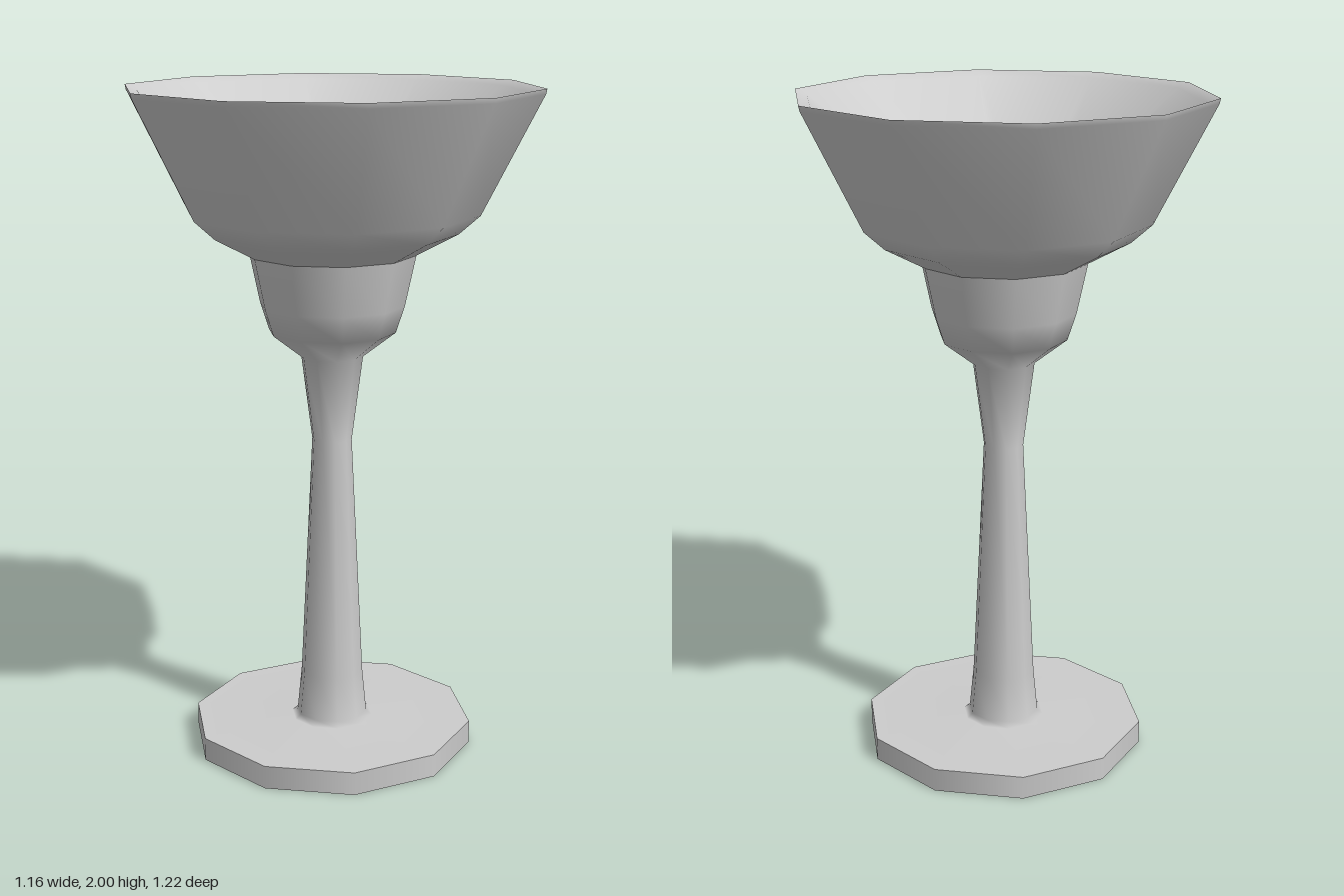
import * as THREE from 'three';

const SIDES = 10;

export function createModel() {
  const group = new THREE.Group();
  group.name = 'goblet';
  const grey = new THREE.MeshStandardMaterial({ color: 0xcccccc });
  grey.name = 'light grey';

  // Turned part: smooth within its profile, creased where parts meet
  const turn = (name, profile) => {
    const points = profile.map(([r, y]) => new THREE.Vector2(r, y));
    const mesh = new THREE.Mesh(new THREE.LatheGeometry(points, SIDES), grey);
    mesh.name = name;
    group.add(mesh);
  };

  // Foot
  turn('footUnderside', [[0, 0], [0.43, 0]]);
  turn('footEdge', [[0.43, 0], [0.43, 0.07]]);

  // Foot top flowing into the stem and the small lower bulb
  turn('stem', [
    [0.43, 0.07], [0.125, 0.07], [0.108, 0.085], [0.095, 0.22], [0.06, 0.96],
    [0.093, 1.215], [0.19, 1.29], [0.216, 1.37], [0.248, 1.52],
  ]);

  // Bowl outside
  turn('bowlOutside', [
    [0.248, 1.52], [0.37, 1.585], [0.432, 1.64], [0.607, 1.985], [0.61, 2],
  ]);

  // Narrow sloped lip and the hollow inside
  turn('bowlInside', [[0.61, 2], [0.575, 1.985], [0.13, 1.64], [0, 1.6]]);

  return group;
}
